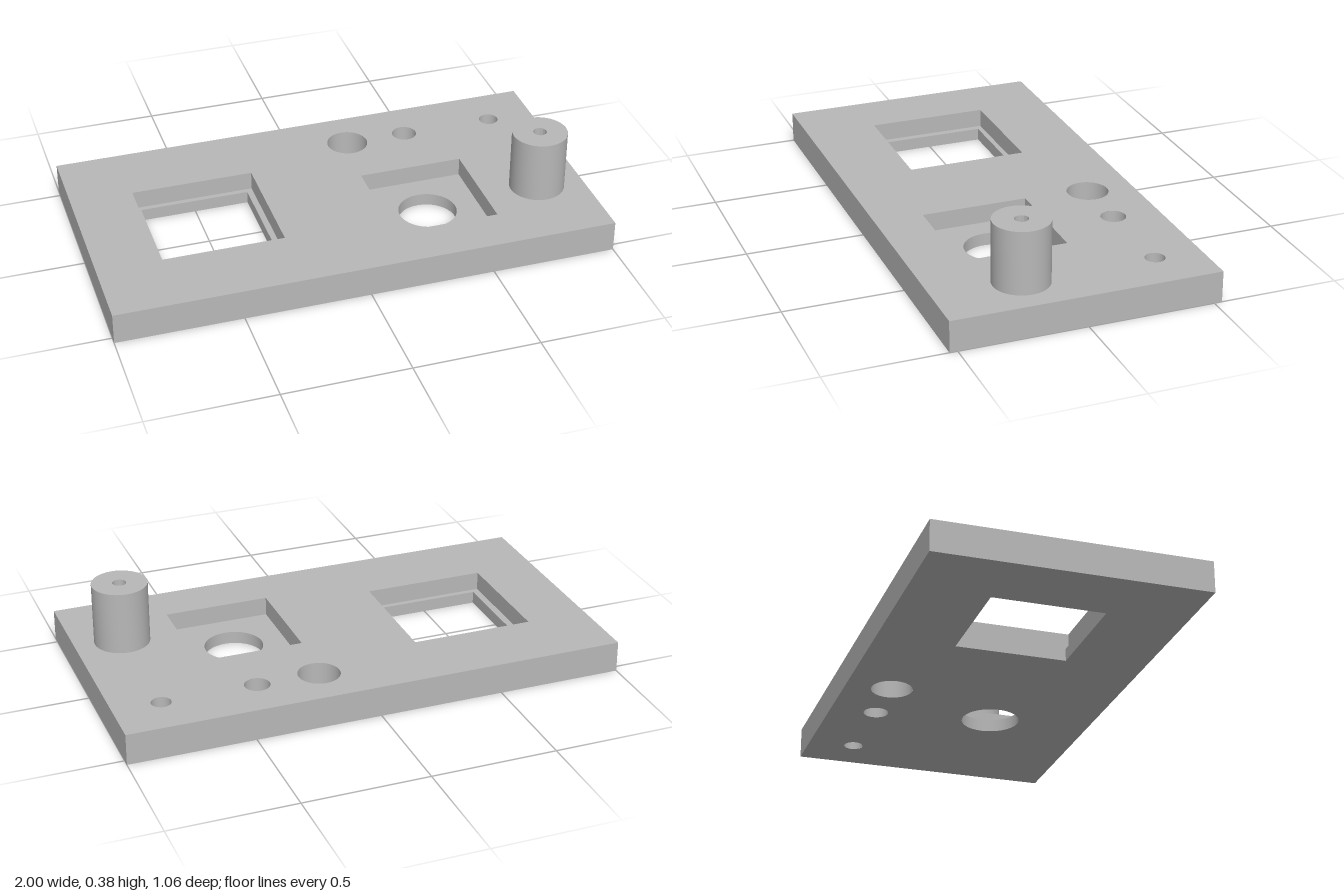
import * as THREE from 'three';
import { toCreasedNormals } from 'three/addons/utils/BufferGeometryUtils.js';

const TOP = 0.125, LEDGE = 0.05, BOSS_TOP = 0.376, SEG = 48;

// Outlines: rectangles as [x0, x1, z0, z1], circles as [x, z, radius]
const plate = [-1, 1, -0.531, 0.531];
const windowOuter = [-0.75, -0.258, -0.243, 0.241];
const windowInner = [-0.722, -0.282, -0.222, 0.22];
const pocket = [0.16, 0.583, -0.089, 0.337];
const pocketHole = [0.371, 0.123, 0.117];
const smallHoles = [[0.184, -0.345, 0.083], [0.433, -0.345, 0.05], [0.81, -0.345, 0.039]];
const boss = [0.81, 0.187, 0.11];
const bossBore = 0.027;

const steel = new THREE.MeshStandardMaterial({ color: 0xb8b8b8 });
steel.name = 'plain grey';

// Draws an outline into a path; s is -1 for faces looking up and 1 for down
function trace(path, o, s) {
  if (o.length === 3) return path.absarc(o[0], s * o[1], o[2], 0, Math.PI * 2);
  const [x0, x1, z0, z1] = o;
  return path.moveTo(x0, s * z0).lineTo(x1, s * z0).lineTo(x1, s * z1).lineTo(x0, s * z1).closePath();
}

// Flat horizontal face with holes
function face(outline, holes, y, s) {
  const shape = trace(new THREE.Shape(), outline, s);
  for (const h of holes) shape.holes.push(trace(new THREE.Path(), h, s));
  return new THREE.ShapeGeometry(shape, SEG).rotateX(s * Math.PI / 2).translate(0, y, 0);
}

// Four upright walls of a rectangle, facing outward or inward
function walls([x0, x1, z0, z1], y0, y1, inward) {
  const corners = [[x0, z1], [x1, z1], [x1, z0], [x0, z0]];
  if (inward) corners.reverse();
  const pos = [];
  corners.forEach(([ax, az], i) => {
    const [bx, bz] = corners[(i + 1) % 4];
    pos.push(ax, y0, az, bx, y0, bz, bx, y1, bz, ax, y0, az, bx, y1, bz, ax, y1, az);
  });
  const g = new THREE.BufferGeometry();
  g.setAttribute('position', new THREE.Float32BufferAttribute(pos, 3));
  g.computeVertexNormals();
  return g;
}

// Turned surface around a vertical axis
function turned(x, z, profile) {
  const pts = profile.map(([r, y]) => new THREE.Vector2(r, y));
  return new THREE.LatheGeometry(pts, SEG).translate(x, 0, z);
}

export function createModel() {
  const model = new THREE.Group();
  model.name = 'mountingPlate';
  const add = (name, geometry) => {
    const mesh = new THREE.Mesh(geometry, steel);
    mesh.name = name;
    model.add(mesh);
  };

  // Plate skin
  add('plateTop', face(plate, [windowOuter, pocket, boss, ...smallHoles], TOP, -1));
  add('plateBottom', face(plate, [windowInner, pocketHole, ...smallHoles], 0, 1));
  add('plateSides', walls(plate, 0, TOP, false));

  // Stepped window
  add('windowUpperWalls', walls(windowOuter, LEDGE, TOP, true));
  add('windowLedge', face(windowOuter, [windowInner], LEDGE, -1));
  add('windowLowerWalls', walls(windowInner, 0, LEDGE, true));

  // Square pocket with a round opening
  add('pocketWalls', walls(pocket, LEDGE, TOP, true));
  add('pocketFloor', face(pocket, [pocketHole], LEDGE, -1));
  add('pocketHoleWall', turned(pocketHole[0], pocketHole[1], [[pocketHole[2], LEDGE], [pocketHole[2], 0]]));

  // Small through holes
  for (const [x, z, r] of smallHoles) add('smallHoleWall', turned(x, z, [[r, TOP], [r, 0]]));

  // Upright boss with a blind bore
  const [bx, bz, br] = boss;
  add('boss', toCreasedNormals(turned(bx, bz, [
    [br, TOP], [br, BOSS_TOP], [bossBore, BOSS_TOP], [bossBore, TOP], [0, TOP],
  ]), 0.6));

  return model;
}
